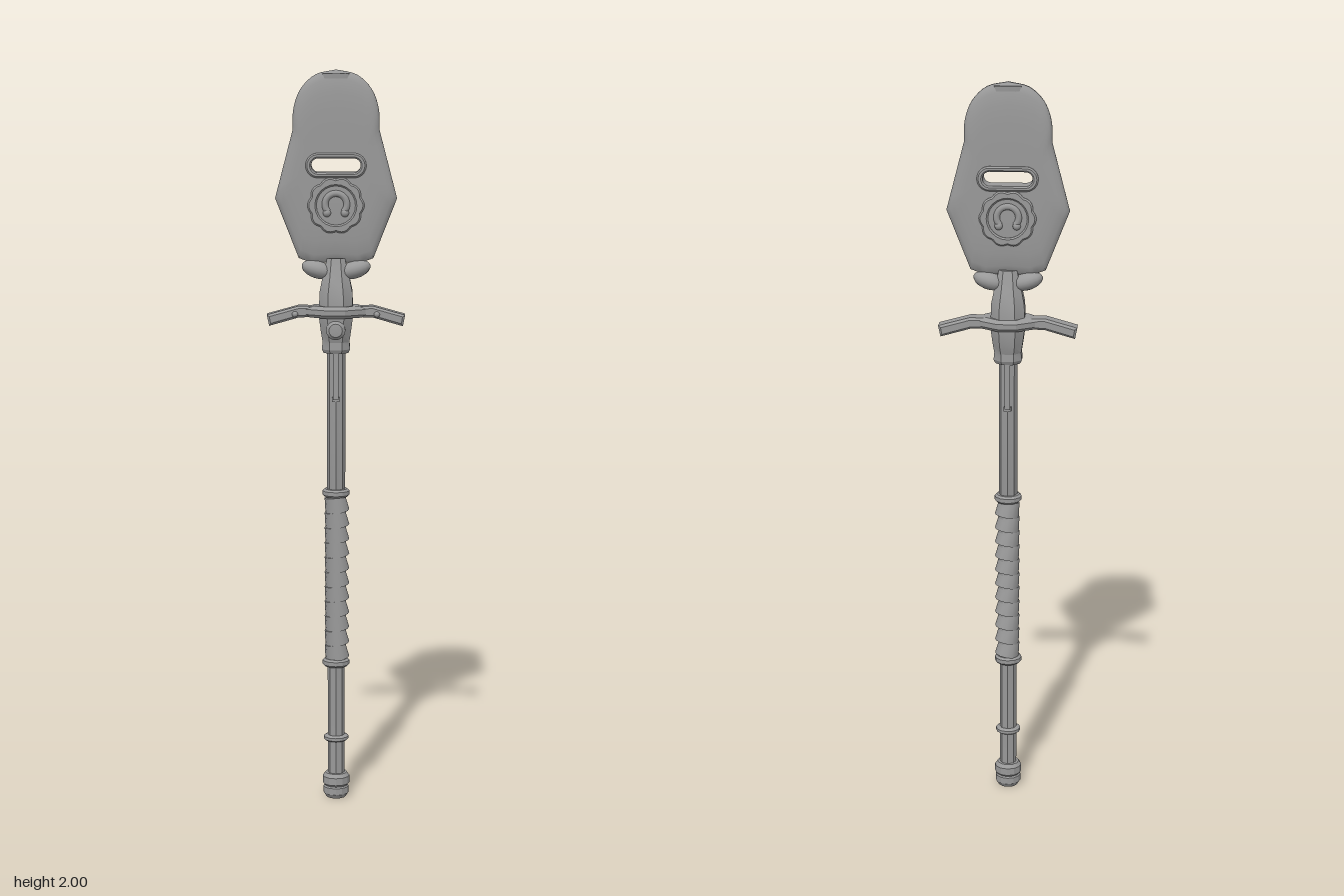
import * as THREE from 'three';
import { toCreasedNormals } from 'three/addons/utils/BufferGeometryUtils.js';

// Skin a list of equal-length closed rings; wrap joins the last ring to the first, otherwise ends are capped
function loft(rings, wrap, crease) {
  const n = rings[0].length, verts = [], idx = [];
  rings.forEach(r => r.forEach(p => verts.push(...p)));
  const m = rings.length;
  for (let i = 0; i < (wrap ? m : m - 1); i++) {
    for (let j = 0; j < n; j++) {
      const k = (j + 1) % n, u = ((i + 1) % m) * n;
      idx.push(i * n + j, u + j, u + k, i * n + j, u + k, i * n + k);
    }
  }
  if (!wrap) {
    const t = (m - 1) * n;
    for (let j = 1; j < n - 1; j++) idx.push(0, j, j + 1, t, t + j + 1, t + j);
  }
  const g = new THREE.BufferGeometry();
  g.setAttribute('position', new THREE.Float32BufferAttribute(verts, 3));
  g.setIndex(idx);
  return toCreasedNormals(g, crease);
}

// Eight-cornered section: a narrow front and back, wider at the sides
const section = (y, w, d, fx, sz) => [[w, sz], [fx, d], [-fx, d], [-w, sz], [-w, -sz], [-fx, -d], [fx, -d], [w, -sz]]
  .map(([x, z]) => [x, y, z]);

const lathe = (pts, sides) => toCreasedNormals(
  new THREE.LatheGeometry(pts.map(p => new THREE.Vector2(...p)), sides), 0.5);

function stadium(Type, half, r, y) {
  const s = new Type();
  s.absarc(half, y, r, -Math.PI / 2, Math.PI / 2, false);
  s.absarc(-half, y, r, Math.PI / 2, Math.PI * 1.5, false);
  s.closePath();
  return s;
}

export function createModel() {
  const group = new THREE.Group();
  const steel = new THREE.MeshStandardMaterial({ color: 0x999999 });
  steel.name = 'grey steel';
  const add = (name, geo, x = 0, y = 0, z = 0) => {
    const m = new THREE.Mesh(geo, steel);
    m.name = name;
    m.position.set(x, y, z);
    group.add(m);
    return m;
  };
  const extrude = (shape, depth, bevel) => new THREE.ExtrudeGeometry(shape, {
    depth: depth - 2 * bevel, bevelEnabled: true, bevelThickness: bevel, bevelSize: bevel,
    bevelOffset: -bevel, bevelSegments: 1, curveSegments: 12,
  }).translate(0, 0, -depth / 2 + bevel);

  // Shaft with an eight-sided section
  add('shaft', lathe([[0, 0.03], [0.023, 0.03], [0.023, 0.86], [0.025, 0.87], [0.025, 1.28], [0, 1.28]], 8));
  for (const s of [1, -1]) {
    add('shaftStrip', new THREE.BoxGeometry(0.014, 0.14, 0.012), 0, 1.19, s * 0.026);
    add('shaftCatch', new THREE.BoxGeometry(0.02, 0.012, 0.006), 0, 1.12, s * 0.025);
  }

  // Pommel and rings
  add('pommel', lathe([[0, 0], [0.027, 0], [0.035, 0.012], [0.035, 0.03], [0.032, 0.034], [0.037, 0.04],
    [0.037, 0.06], [0.03, 0.07], [0, 0.07]], 12));
  const ring = (name, y, r, h) => add(name, lathe([[0.02, -h], [r - 0.006, -h], [r, -h * 0.5], [r, h * 0.5],
    [r - 0.006, h], [0.02, h]], 12), 0, y);
  ring('lowerRing', 0.17, 0.034, 0.008);
  ring('gripLowerCollar', 0.385, 0.037, 0.011);
  ring('gripUpperCollar', 0.86, 0.037, 0.011);

  // Grip: overlapping slanted wraps
  add('gripCore', new THREE.CylinderGeometry(0.027, 0.027, 0.46, 12), 0, 0.622);
  for (let i = 0; i < 11; i++) {
    const wrap = add('gripWrap', toCreasedNormals(new THREE.CylinderGeometry(0.028, 0.033, 0.043, 12), 0.6),
      0, 0.417 + i * 0.0412);
    wrap.rotation.set(0.08, 0, 0.17);
  }

  // Socket below the blade
  add('socket', loft([
    section(1.245, 0.033, 0.033, 0.015, 0.015), section(1.255, 0.038, 0.038, 0.017, 0.017),
    section(1.275, 0.036, 0.037, 0.017, 0.017), section(1.30, 0.04, 0.045, 0.02, 0.02),
    section(1.345, 0.046, 0.05, 0.022, 0.022), section(1.41, 0.044, 0.047, 0.02, 0.02),
    section(1.45, 0.036, 0.033, 0.016, 0.016), section(1.5, 0.024, 0.02, 0.012, 0.01),
  ], false, 0.3));
  add('socketFlange', loft([
    section(1.342, 0.07, 0.052, 0.024, 0.022), section(1.35, 0.08, 0.06, 0.025, 0.024),
    section(1.364, 0.08, 0.06, 0.025, 0.024), section(1.373, 0.06, 0.05, 0.022, 0.02),
  ], false, 0.3));
  const boss = add('frontBoss', lathe([[0, 0], [0.026, 0], [0.026, 0.012], [0.018, 0.02], [0, 0.022]], 16), 0, 1.31, 0.036);
  boss.rotation.x = Math.PI / 2;

  // Drooping crossguard
  const half = [[0.04, 1.343], [0.1, 1.341], [0.18, 1.318], [0.186, 1.348], [0.1, 1.372], [0.04, 1.37]];
  const outline = [...half, ...half.map(([x, y]) => [-x, y]).reverse()];
  add('crossguard', extrude(new THREE.Shape(outline.map(p => new THREE.Vector2(...p))), 0.048, 0.006), 0, 0, -0.004);

  // Leaf-shaped collar at the blade root, and guard pegs
  for (const s of [1, -1]) {
    const leaf = add('rootLeaf', new THREE.SphereGeometry(1, 16, 10), s * 0.05, 1.469, 0);
    leaf.scale.set(0.044, 0.024, 0.029);
    leaf.rotation.z = s * 0.3;
    add('guardPeg', new THREE.SphereGeometry(0.008, 10, 8), s * 0.11, 1.35, 0.02);
  }

  // Blade: lens-shaped plate swept from the slot to the outer edge
  const dome = new THREE.CatmullRomCurve3([[0.116, 1.84], [0.113, 1.9], [0.094, 1.95], [0.055, 1.987], [0, 2]]
    .map(p => new THREE.Vector3(...p, 0))).getPoints(16);
  const corners = [[0, 1.49], [0.06, 1.485], [0.1, 1.5], [0.163, 1.66], [0.116, 1.84]].map(p => new THREE.Vector3(...p, 0));
  const right = [];
  for (let i = 0; i < 4; i++) {
    for (let k = 0; k < 6; k++) right.push(corners[i].clone().lerp(corners[i + 1], k / 6));
  }
  right.push(...dome);
  const edge = [...right, ...right.slice(1, -1).reverse().map(p => new THREE.Vector3(-p.x, p.y, 0))];
  const slotY = 1.748;
  const inner = edge.map(p => {
    const a = Math.atan2(p.y - slotY, p.x);
    return new THREE.Vector3(THREE.MathUtils.clamp(p.x * 0.6, -0.046, 0.046) + 0.02 * Math.cos(a),
      slotY + 0.02 * Math.sin(a), 0);
  });
  const front = [[0, 0.021], [0.3, 0.021], [0.55, 0.0205], [0.75, 0.0185], [0.9, 0.014], [0.97, 0.009], [1, 0.003]];
  const profile = [...front, ...front.map(([s, z]) => [s, -z]).reverse()];
  add('blade', loft(profile.map(([s, z]) => edge.map((p, j) => {
    const q = inner[j].clone().lerp(p, s);
    return [q.x, q.y, z];
  })), true, 0.6));

  // Raised frame around the slot
  const frame = stadium(THREE.Shape, 0.048, 0.033, slotY);
  frame.holes.push(stadium(THREE.Path, 0.047, 0.019, slotY));
  add('slotFrame', extrude(frame, 0.056, 0.004));

  // Scalloped rosette with an open ring inside, on both faces
  const scallops = [];
  for (let i = 0; i < 96; i++) {
    const a = i / 96 * Math.PI * 2, r = 0.07 + 0.006 * Math.abs(Math.cos(a * 5));
    scallops.push(new THREE.Vector2(r * Math.cos(a), r * Math.sin(a)));
  }
  const rosette = new THREE.Shape(scallops);
  rosette.holes.push(new THREE.Path().absarc(0, 0, 0.052, 0, Math.PI * 2, true));
  add('rosetteRim', extrude(rosette, 0.054, 0.004), 0, 1.642, 0);
  for (const s of [1, -1]) {
    const arc = add('rosetteArc', new THREE.TorusGeometry(0.029, 0.009, 8, 28, Math.PI * 1.5), 0, 1.645, s * 0.02);
    arc.rotation.z = -Math.PI / 4;
    for (const x of [1, -1]) add('rosetteFoot', new THREE.SphereGeometry(0.011, 10, 8), x * 0.024, 1.622, s * 0.02);
    // Small raised mark near the tip
    add('tipPlate', loft([section(1.976, 0.03, 0.004, 0.02, 0.002), section(1.99, 0.036, 0.005, 0.02, 0.002)],
      false, 0.3), 0, 0, s * 0.011);
  }
  return group;
}
